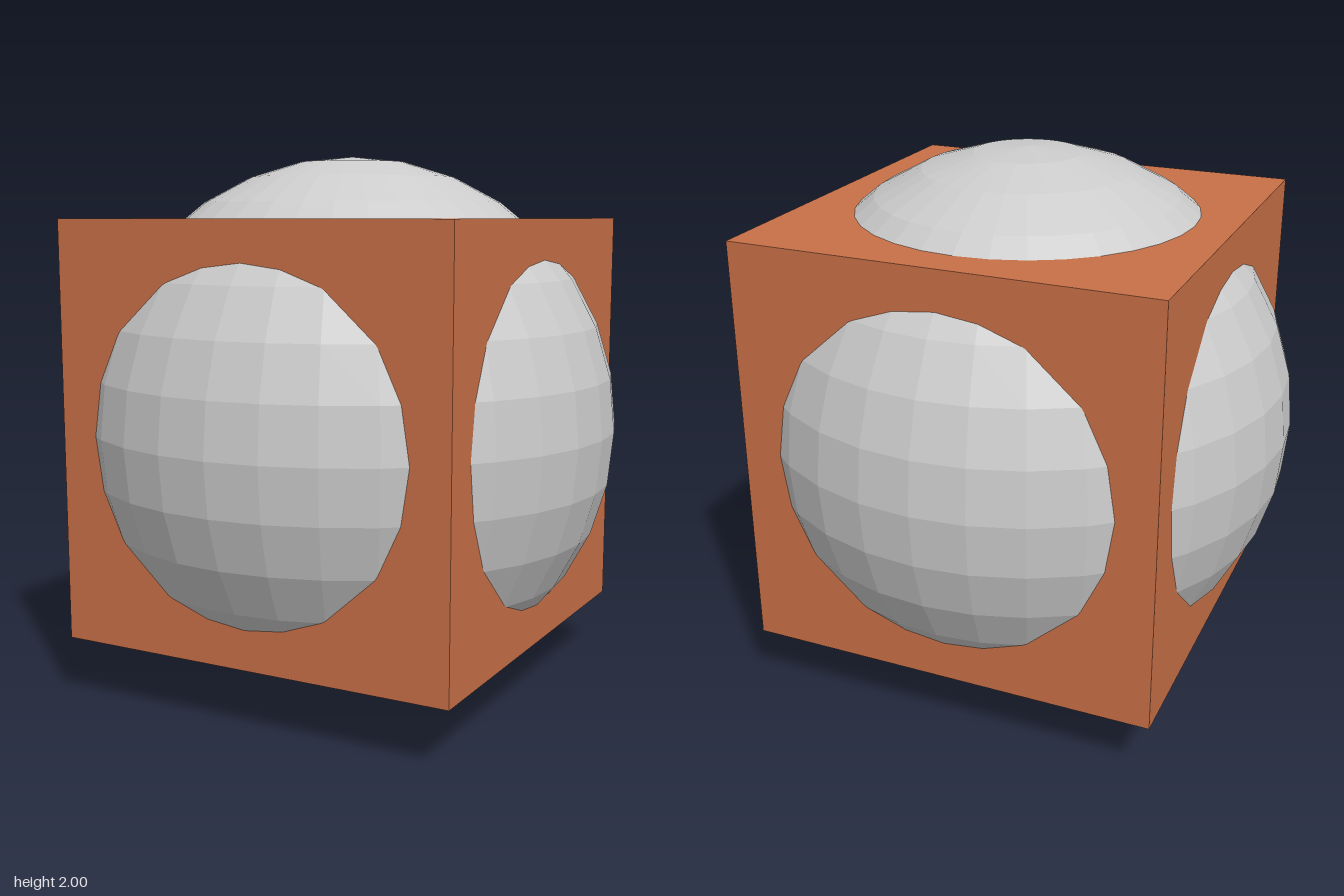
import * as THREE from 'three';

export function createModel() {
  const model = new THREE.Group();
  model.name = 'cubeWithSphere';

  // Faceted sphere bulging through all six faces of the cube
  const sphere = new THREE.Mesh(
    new THREE.SphereGeometry(1, 32, 16),
    new THREE.MeshStandardMaterial({ color: 0xcccccc, flatShading: true })
  );
  sphere.name = 'sphere';
  sphere.position.y = 1;

  // Cube sharing the sphere's centre
  const size = 1.545;
  const cube = new THREE.Mesh(
    new THREE.BoxGeometry(size, size, size),
    new THREE.MeshStandardMaterial({ color: 0xc87047 })
  );
  cube.name = 'cube';
  cube.position.y = 1;

  model.add(sphere, cube);
  return model;
}
